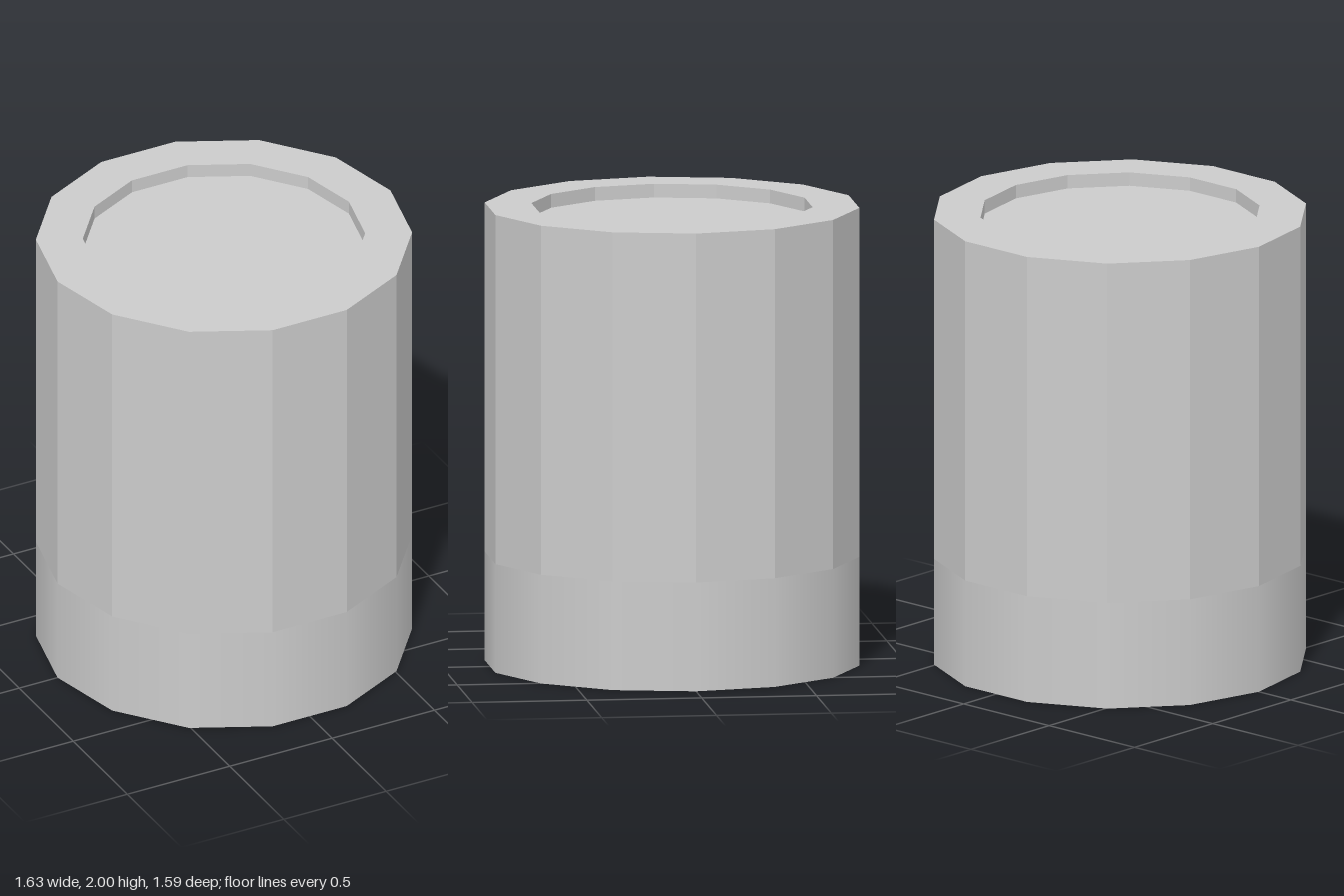
import * as THREE from 'three';

const SIDES = 14;
const RADIUS = 0.813;
const INNER = 0.61;
const BAND_TOP = 0.475;
const TOP = 2;
const FLOOR = 1.94;
const START = Math.PI / 2; // puts a corner on the x axis

export function createModel() {
  const group = new THREE.Group();
  const add = (name, geometry, flatShading) => {
    const mesh = new THREE.Mesh(
      geometry,
      new THREE.MeshStandardMaterial({ color: 0xcccccc, flatShading })
    );
    mesh.name = name;
    group.add(mesh);
    return mesh;
  };

  // Faceted wall, flat rim and shallow recess in the top
  const profile = [
    [RADIUS, BAND_TOP], [RADIUS, TOP], [INNER, TOP], [INNER, FLOOR], [0, FLOOR],
  ].map(([x, y]) => new THREE.Vector2(x, y));
  add('body', new THREE.LatheGeometry(profile, SIDES, START), true);

  // Smooth-shaded lower band
  const band = add(
    'lowerBand',
    new THREE.CylinderGeometry(RADIUS, RADIUS, BAND_TOP, SIDES, 1, true, START),
    false
  );
  band.position.y = BAND_TOP / 2;

  // Flat underside
  const base = add('base', new THREE.CircleGeometry(RADIUS, SIDES), true);
  base.rotation.x = Math.PI / 2;

  return group;
}
